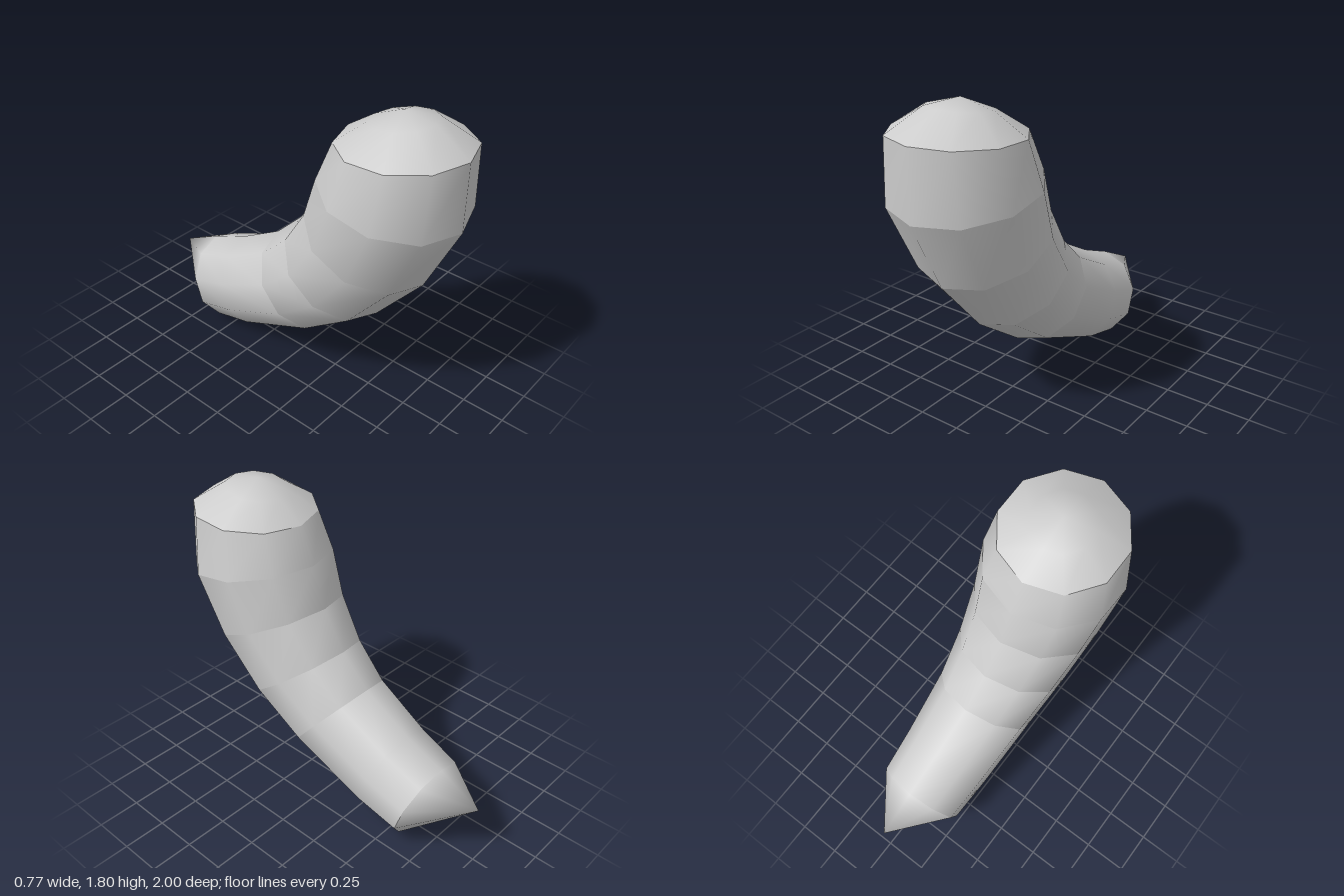
import * as THREE from 'three';

const SIDES = 10;

// Cross-sections from top to tail: outer point (z, y), inner point (z, y).
// Equal points make a pole.
const RINGS = [
  [0.62, 1.805, 0.62, 1.805],
  [0.80, 1.78, 0.45, 1.73],
  [1.00, 1.655, 0.29, 1.62],
  [1.00, 1.27, 0.20, 1.41],
  [0.81, 0.87, 0.12, 1.17],
  [0.53, 0.54, -0.02, 0.945],
  [0.20, 0.30, -0.20, 0.77],
  [-0.31, 0.07, -0.50, 0.60],
  [-0.575, 0.00, -0.74, 0.50],
  [-1.00, 0.37, -1.00, 0.37],
];

// Circle standing across the bend, its diameter running from outer to inner point
function ringPoints([z0, y0, z1, y1]) {
  const cz = (z0 + z1) / 2, cy = (y0 + y1) / 2;
  const dz = z0 - cz, dy = y0 - cy, r = Math.hypot(dz, dy);
  if (r === 0) return [[0, cy, cz]];
  return Array.from({ length: SIDES }, (_, k) => {
    const a = (k / SIDES) * Math.PI * 2, c = Math.cos(a);
    return [r * Math.sin(a), cy + dy * c, cz + dz * c];
  });
}

// Smooth skin over consecutive rings; separate sections keep a crease between them
function skin(rings) {
  const positions = [], index = [], starts = [];
  const loops = rings.map(ringPoints);
  for (const loop of loops) {
    starts.push(positions.length / 3);
    loop.forEach((p) => positions.push(...p));
  }
  const id = (i, k) => starts[i] + (k % loops[i].length);
  for (let i = 0; i < loops.length - 1; i++) {
    for (let k = 0; k < SIDES; k++) {
      const a = id(i, k), b = id(i, k + 1), c = id(i + 1, k), d = id(i + 1, k + 1);
      if (a !== b) index.push(a, c, b);
      if (c !== d) index.push(b, c, d);
    }
  }
  const geometry = new THREE.BufferGeometry();
  geometry.setAttribute('position', new THREE.Float32BufferAttribute(positions, 3));
  geometry.setIndex(index);
  geometry.computeVertexNormals();
  return geometry;
}

export function createModel() {
  const group = new THREE.Group();
  group.name = 'bentTube';
  const material = new THREE.MeshStandardMaterial({ color: 0xcccccc });

  // Name, first ring, last ring
  const sections = [
    ['topCap', 0, 2],
    ['upperSegment', 2, 3],
    ['upperBend', 3, 4],
    ['middleBend', 4, 5],
    ['lowerBend', 5, 6],
    ['tailSegment', 6, 8],
    ['tailTip', 8, 9],
  ];
  for (const [name, first, last] of sections) {
    const mesh = new THREE.Mesh(skin(RINGS.slice(first, last + 1)), material);
    mesh.name = name;
    group.add(mesh);
  }
  return group;
}
